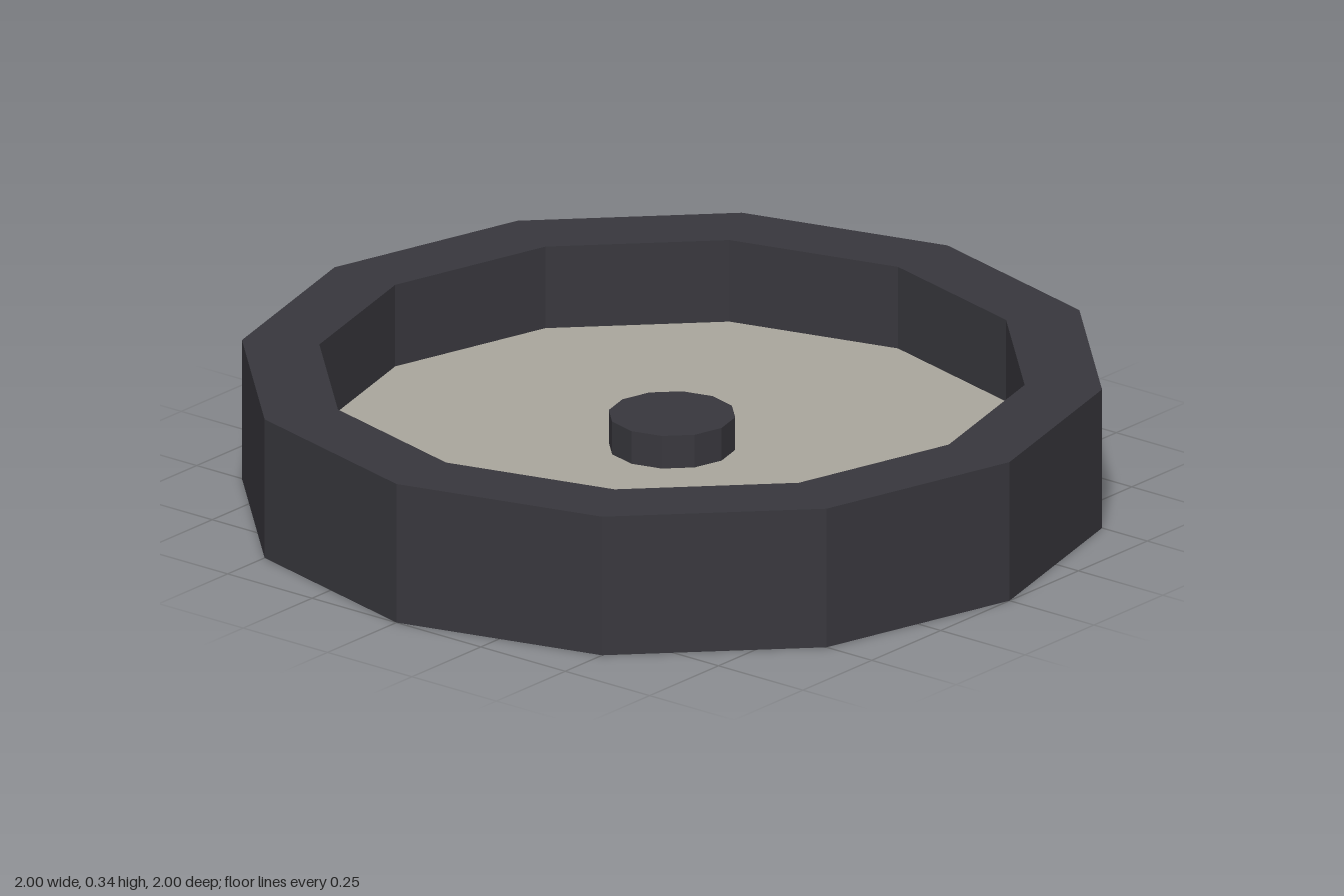
import * as THREE from 'three';

const SIDES = 12;
const FLOOR_Y = 0.14;

export function createModel() {
  const model = new THREE.Group();
  model.name = 'roundTray';

  const charcoal = new THREE.MeshStandardMaterial({ color: 0x38373d, flatShading: true });
  charcoal.name = 'charcoal';
  const warmGrey = new THREE.MeshStandardMaterial({ color: 0xaaa79d, flatShading: true });
  warmGrey.name = 'warmGrey';

  const add = (name, geometry, material, y = 0) => {
    const mesh = new THREE.Mesh(geometry, material);
    mesh.name = name;
    mesh.position.y = y;
    model.add(mesh);
    return mesh;
  };

  // Faceted body: closed underside, outer wall, flat rim, inner wall
  const profile = [[0, 0], [1, 0], [1, 0.34], [0.82, 0.34], [0.82, FLOOR_Y]]
    .map(([r, y]) => new THREE.Vector2(r, y));
  add('rim', new THREE.LatheGeometry(profile, SIDES), charcoal);

  // Recessed floor
  const floor = new THREE.CircleGeometry(0.82, SIDES).rotateX(-Math.PI / 2);
  add('floor', floor, warmGrey, FLOOR_Y);

  // Small central hub standing on the floor
  const hubHeight = 0.08;
  add('hub', new THREE.CylinderGeometry(0.147, 0.147, hubHeight, SIDES), charcoal, FLOOR_Y + hubHeight / 2);

  return model;
}
